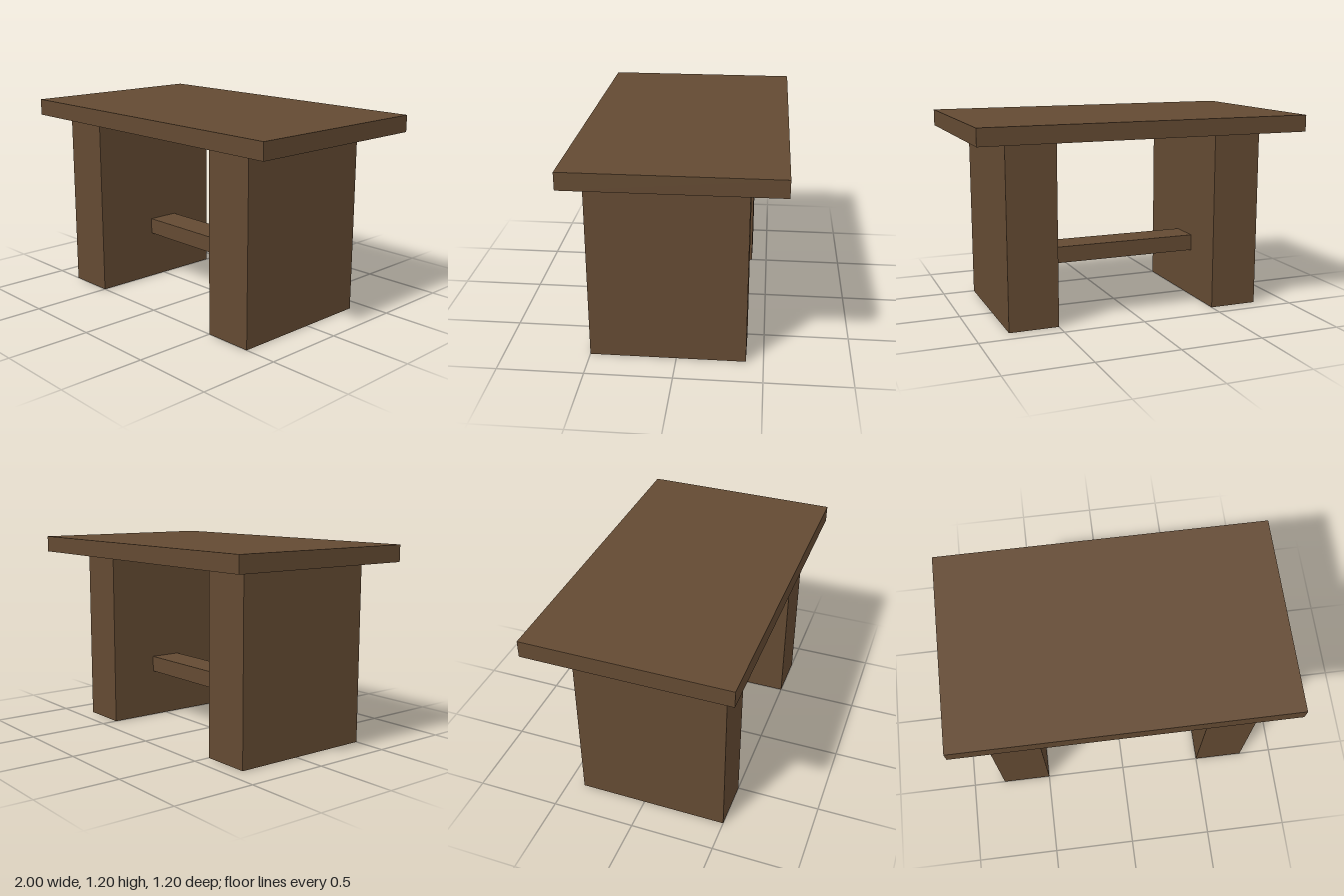
import * as THREE from 'three';

export function createModel() {
  const model = new THREE.Group();
  model.name = 'table';
  const wood = new THREE.MeshStandardMaterial({ color: 0x634a32, side: THREE.DoubleSide });
  wood.name = 'brown wood';

  function add(name, geometry, x, y, z) {
    const mesh = new THREE.Mesh(geometry, wood);
    mesh.name = name;
    mesh.position.set(x, y, z);
    model.add(mesh);
  }

  // Table top
  add('tableTop', new THREE.BoxGeometry(2, 0.1, 1.2), 0, 1.15, 0);

  // Hollow panel legs: box walls only, open underneath and closed by the top
  const walls = new THREE.BoxGeometry(0.3, 1.1, 0.9);
  const index = Array.from(walls.index.array);
  index.splice(12, 12); // drop the top and bottom faces
  walls.setIndex(index);
  walls.clearGroups();
  for (const [name, side] of [['leftLeg', 1], ['rightLeg', -1]]) {
    add(name, walls, side * 0.65, 0.55, 0.05);
  }

  // Stretcher bar between the legs
  add('stretcher', new THREE.BoxGeometry(1, 0.1, 0.2), 0, 0.35, 0);

  return model;
}
